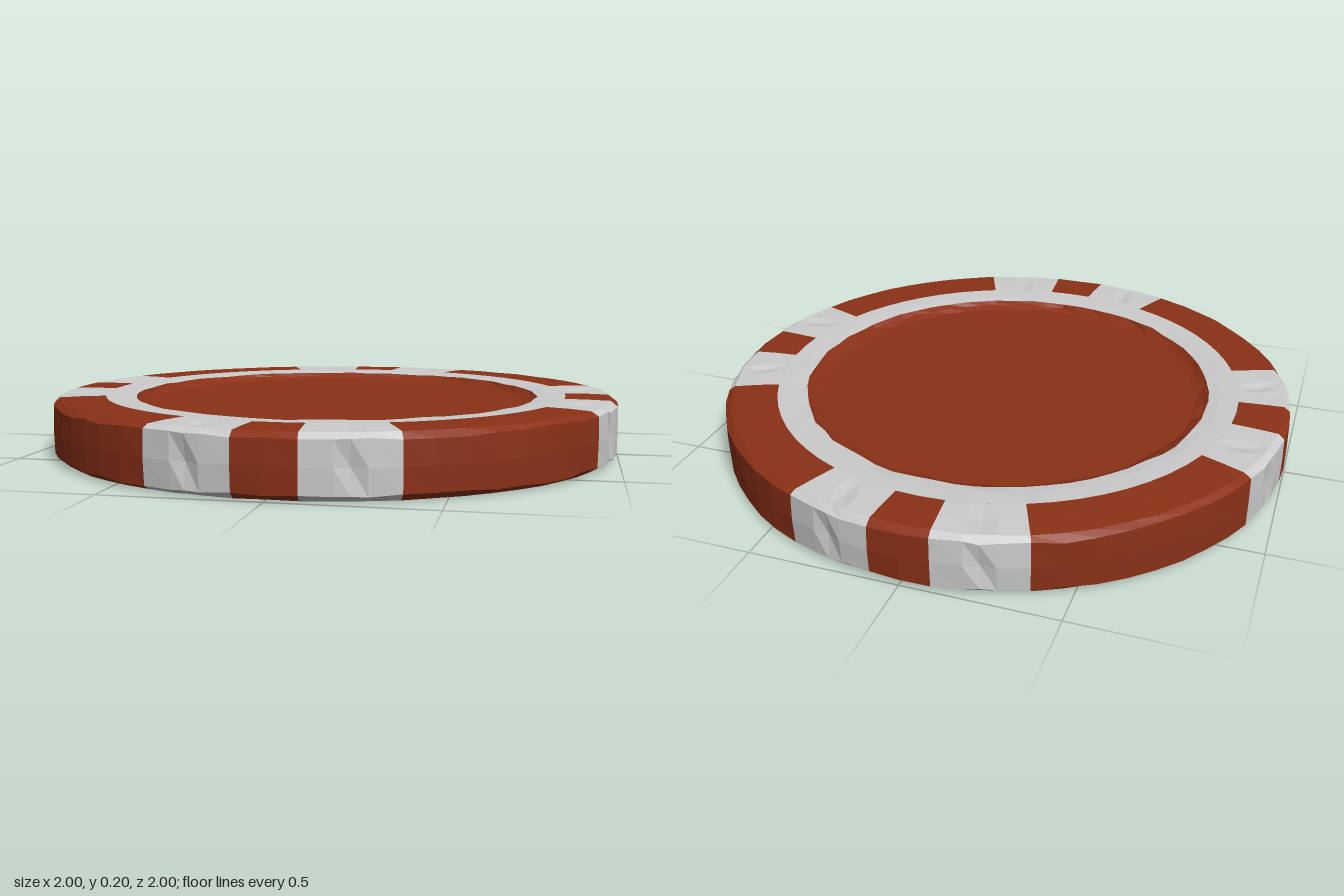
import * as THREE from 'three';

const HEIGHT = 0.2, SEGMENTS = 64;
const red = new THREE.MeshStandardMaterial({ color: 0x8b3117, flatShading: true });
const grey = new THREE.MeshStandardMaterial({ color: 0xcccccc, flatShading: true });

// Repeatable hand-worn irregularity in -1..1, shared by neighbouring parts
function noise(k, row) {
  const s = Math.sin((k % SEGMENTS) * 12.9898 + row * 78.233) * 43758.5453;
  return 2 * (s - Math.floor(s)) - 1;
}

// Profile points: [radius, y, radial wear, vertical wear, dent depth]
const recessTop = [
  [0, 0.172, 0, 0],
  [0.675, 0.172, 0.008, 0],
  [0.702, 0.182, 0.01, 0.004],
  [0.718, 0.194, 0.006, 0.002],
];
const ringTop = [recessTop[3], [0.755, 0.198, 0.006, 0.001], [0.82, 0.2, 0, 0]];
const edgeTop = [
  [0.82, 0.2, 0, 0],
  [0.9, 0.2, 0, 0, 0.008],
  [0.975, 0.198, 0.003, 0.001],
  [0.997, 0.182, 0.002, 0.005],
];
const flip = (profile) => profile
  .map(([r, y, wr, wy, d]) => [r, HEIGHT - y, wr, -wy, d]).reverse();
const edgeProfile = [...edgeTop, [1, HEIGHT / 2, 0, 0, 0.014], ...flip(edgeTop)];

// Sweeps a profile around the y axis through the listed segment positions
function sweep(name, profile, steps, material) {
  const point = (p, k) => {
    const [r, y, wearR, wearY, dent = 0] = p;
    const id = Math.round(r * 1000);
    const dip = k % 1 === 0 ? 0 : dent; // dents sit on half steps only
    const side = y === HEIGHT / 2;
    const radius = r + wearR * noise(k, id) - (side ? dip : 0);
    const height = y + wearY * noise(k, id + 7) - (side ? 0 : Math.sign(y - HEIGHT / 2) * dip);
    const a = (k / SEGMENTS) * Math.PI * 2;
    return [radius * Math.sin(a), height, radius * Math.cos(a)];
  };
  const positions = [];
  for (let i = 0; i < profile.length - 1; i++) {
    for (let j = 0; j < steps.length - 1; j++) {
      const a = point(profile[i], steps[j]), b = point(profile[i + 1], steps[j]);
      const c = point(profile[i + 1], steps[j + 1]), d = point(profile[i], steps[j + 1]);
      if (profile[i + 1][0] > 0) positions.push(...a, ...b, ...c);
      if (profile[i][0] > 0) positions.push(...a, ...c, ...d);
    }
  }
  const geometry = new THREE.BufferGeometry();
  geometry.setAttribute('position', new THREE.Float32BufferAttribute(positions, 3));
  geometry.computeVertexNormals();
  const mesh = new THREE.Mesh(geometry, material);
  mesh.name = name;
  return mesh;
}

const range = (from, to) => Array.from({ length: to - from + 1 }, (_, i) => from + i);

export function createModel() {
  const chip = new THREE.Group();
  chip.name = 'chip';

  // Sunken discs and the plain rings around them, on both faces
  const around = range(0, SEGMENTS);
  chip.add(
    sweep('topRecess', recessTop, around, red),
    sweep('bottomRecess', flip(recessTop), around, red),
    sweep('topRing', ringTop, around, grey),
    sweep('bottomRing', flip(ringTop), around, grey),
  );

  // Rim: per quarter a narrow stripe, two dented spots and a wide block
  for (let q = 0; q < 4; q++) {
    const at = (steps) => steps.map((k) => k + 16 * (q + 1));
    chip.add(
      sweep('narrowStripe', edgeProfile, at([-1, 0, 1]), red),
      sweep('edgeSpot', edgeProfile, at([1, 2, 2.5, 3, 4]), grey),
      sweep('wideBlock', edgeProfile, at(range(4, 12)), red),
      sweep('edgeSpot', edgeProfile, at([12, 13, 13.5, 14, 15]), grey),
    );
  }
  return chip;
}
